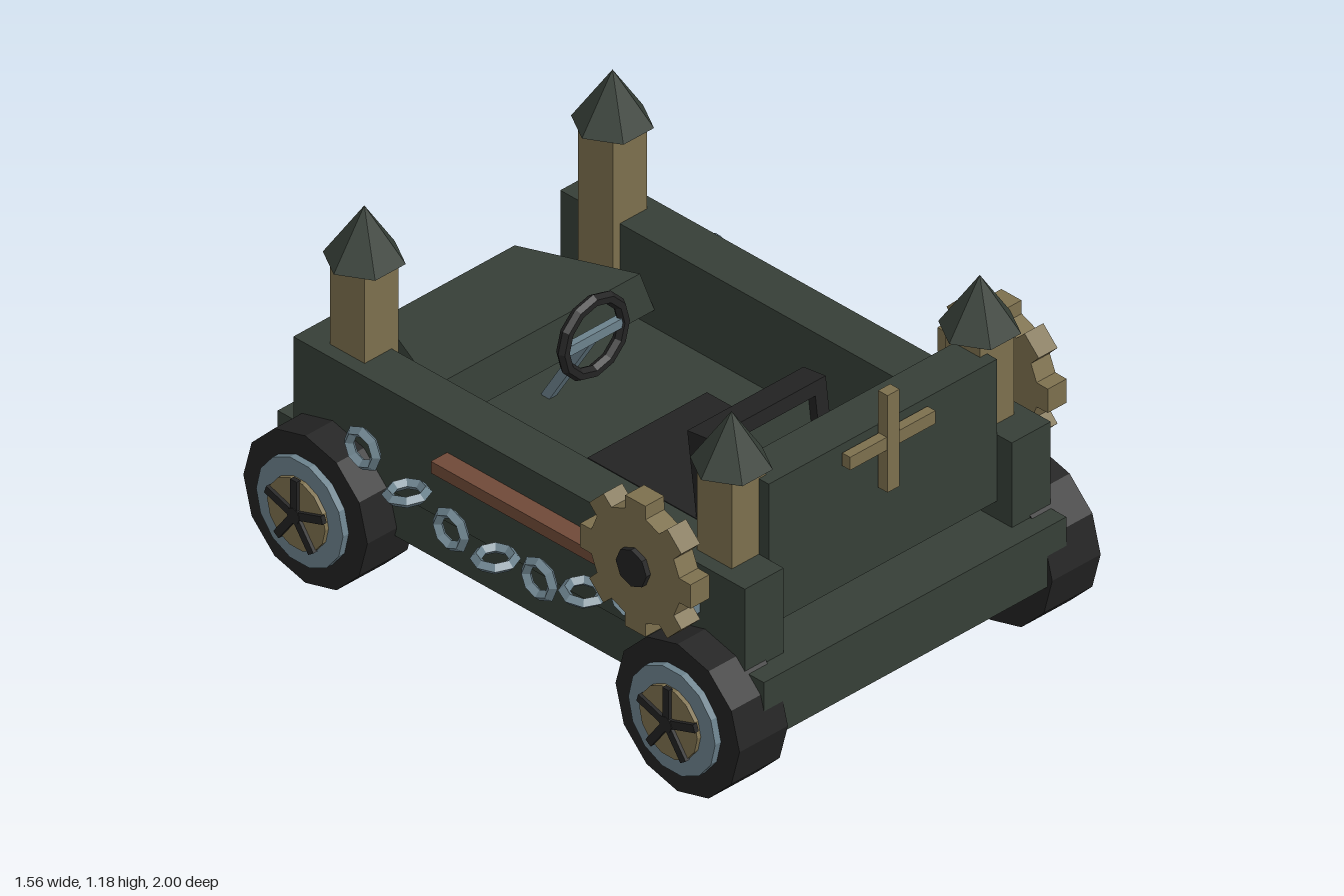
import * as THREE from 'three';

const paint = (name, color) => {
  const m = new THREE.MeshStandardMaterial({ color, flatShading: true });
  m.name = name;
  return m;
};

export function createModel() {
  const green = paint('dark green', 0x363f37);
  const black = paint('black', 0x232323);
  const gold = paint('dull gold', 0x7d704e);
  const steel = paint('blue steel', 0x6c828d);
  const wood = paint('red brown wood', 0x704a38);

  const car = new THREE.Group();
  car.name = 'castleCar';

  const add = (name, geo, mat, parent = car) => {
    const m = new THREE.Mesh(geo, mat);
    m.name = name;
    parent.add(m);
    return m;
  };
  // box given by its ranges
  const box = (name, mat, x0, x1, y0, y1, z0, z1, parent = car) => {
    const m = add(name, new THREE.BoxGeometry(x1 - x0, y1 - y0, z1 - z0), mat, parent);
    m.position.set((x0 + x1) / 2, (y0 + y1) / 2, (z0 + z1) / 2);
    return m;
  };
  // cylinder lying along x between x0 and x1
  const disc = (name, mat, r, x0, x1, sides, parent) => {
    const g = new THREE.CylinderGeometry(r, r, x1 - x0, sides).rotateZ(-Math.PI / 2);
    const m = add(name, g, mat, parent);
    m.position.x = (x0 + x1) / 2;
    return m;
  };
  const group = (name, x, y, z) => {
    const g = new THREE.Group();
    g.name = name;
    g.position.set(x, y, z);
    car.add(g);
    return g;
  };

  // Body
  box('chassis', green, -0.603, 0.603, 0.222, 0.425, -0.98, 0.98);
  for (const s of [-1, 1]) {
    const [a, b] = s > 0 ? [0.455, 0.61] : [-0.61, -0.455];
    box('sideWall', green, a, b, 0.375, 0.713, -0.91, 0.91);
  }
  box('rearWall', green, -0.455, 0.455, 0.487, 0.97, 0.705, 0.85);
  box('crossUpright', gold, -0.024, 0.024, 0.76, 1.09, 0.855, 0.893);
  box('crossBar', gold, -0.17, 0.17, 0.903, 0.947, 0.858, 0.89);

  // Hood: a box tapered towards the nose and towards the top
  const hood = new THREE.BoxGeometry(2, 1, 1);
  const p = hood.attributes.position;
  for (let i = 0; i < p.count; i++) {
    const top = p.getY(i) > 0, nose = p.getZ(i) < 0;
    const half = (nose ? 0.305 : 0.455) - (top ? 0.042 : 0);
    p.setXYZ(i, Math.sign(p.getX(i)) * half, top ? 0.62 : 0.485,
      nose ? (top ? -0.9 : -0.92) : (top ? -0.547 : -0.53));
  }
  hood.computeVertexNormals();
  add('hood', hood, green);

  // Corner towers with six-sided roofs
  for (const x of [-0.495, 0.495]) for (const z of [-0.74, 0.74]) {
    box('tower', gold, x - 0.068, x + 0.068, 0.48, 1.02, z - 0.07, z + 0.07);
    const roof = add('towerRoof', new THREE.ConeGeometry(0.122, 0.178, 6).rotateY(Math.PI / 6 * 3), green);
    roof.position.set(x, 1.097, z);
  }

  // Wheels with rim, cap and five spokes
  for (const s of [-1, 1]) for (const z of [-0.75, 0.75]) {
    const w = group('wheel', 0, 0.252, z);
    if (s < 0) w.rotation.y = Math.PI;
    disc('tire', black, 0.25, 0.527, 0.72, 12, w);
    disc('rim', steel, 0.175, 0.715, 0.743, 14, w);
    disc('wheelCap', gold, 0.117, 0.74, 0.757, 14, w);
    disc('wheelHub', black, 0.026, 0.75, 0.77, 8, w);
    for (let i = 0; i < 5; i++) {
      const g = new THREE.BoxGeometry(0.016, 0.12, 0.026).translate(0.76, 0.06, 0);
      add('spoke', g, black, w).rotation.x = i * Math.PI * 2 / 5;
    }
  }

  // Toothed gears on both sides
  const shape = new THREE.Shape();
  const teeth = 8, root = 0.182, tip = 0.226;
  for (let i = 0; i < teeth; i++) {
    const c = Math.PI / 2 + i * Math.PI * 2 / teeth;
    [[root, -0.23], [tip, -0.18], [tip, 0.18], [root, 0.23]].forEach(([r, d], k) => {
      const x = r * Math.cos(c + d), y = r * Math.sin(c + d);
      if (i + k === 0) shape.moveTo(x, y); else shape.lineTo(x, y);
    });
  }
  shape.closePath();
  const gearGeo = new THREE.ExtrudeGeometry(shape, { depth: 0.075, bevelEnabled: false });
  gearGeo.rotateY(Math.PI / 2).translate(0.675, 0, 0);
  for (const s of [-1, 1]) {
    const g = group('gear', 0, 0.716, 0.61);
    if (s < 0) g.rotation.y = Math.PI;
    add('gearWheel', gearGeo, gold, g);
    disc('gearHub', black, 0.062, 0.66, 0.767, 8, g);
  }

  // Hanging chains: links alternate upright and flat
  const linkGeo = new THREE.TorusGeometry(0.055, 0.018, 4, 8);
  for (const s of [-1, 1]) for (let i = -3; i <= 3; i++) {
    const link = add('chainLink', linkGeo, steel);
    link.position.set(s * 0.705, 0.433 + 0.0135 * i * i, i * 0.178);
    if (i % 2) link.rotation.y = Math.PI / 2;
    else link.rotation.x = Math.PI / 2 + i * 0.05;
  }

  // Mace on the left side
  box('maceShaft', steel, 0.61, 0.662, 0.573, 0.611, -0.28, 0.54);
  const mace = group('maceHead', 0.645, 0.592, 0.59);
  add('maceBall', new THREE.IcosahedronGeometry(0.066, 1), black, mace);
  const spike = new THREE.ConeGeometry(0.026, 0.07, 6).translate(0, 0.078, 0);
  for (const d of [[1, 0, 0], [-1, 0, 0], [0, 1, 0], [0, -1, 0], [0, 0, 1], [0, 0, -1]]) {
    add('maceSpike', spike, steel, mace).quaternion
      .setFromUnitVectors(new THREE.Vector3(0, 1, 0), new THREE.Vector3(...d));
  }

  // Hammer on the right side
  box('hammerHandle', wood, -0.675, -0.608, 0.572, 0.612, -0.29, 0.52);
  box('hammerHead', steel, -0.68, -0.605, 0.55, 0.628, 0.5, 0.73);

  // Seat
  box('seatCushion', black, -0.238, 0.238, 0.452, 0.51, -0.1, 0.425);
  const back = group('seatBack', 0, 0.49, 0.38);
  back.rotation.x = -0.13;
  box('backFrameTop', black, -0.232, 0.232, 0.26, 0.305, -0.045, 0.045, back);
  box('backFrameBottom', black, -0.232, 0.232, 0, 0.05, -0.045, 0.045, back);
  box('backFrameSide', black, -0.232, -0.185, 0.05, 0.26, -0.045, 0.045, back);
  box('backFrameSide', black, 0.185, 0.232, 0.05, 0.26, -0.045, 0.045, back);
  box('backPanel', green, -0.185, 0.185, 0.05, 0.26, -0.015, 0.015, back);

  // Steering wheel and column
  const wheel = group('steeringWheel', 0, 0.71, -0.318);
  add('steeringRing', new THREE.TorusGeometry(0.12, 0.02, 6, 12), black, wheel);
  box('steeringBar', steel, -0.115, 0.115, -0.016, 0.016, -0.012, 0.012, wheel);
  const from = new THREE.Vector3(0, 0.42, -0.5), to = new THREE.Vector3(0, 0.71, -0.32);
  const column = add('steeringColumn', new THREE.BoxGeometry(0.03, from.distanceTo(to), 0.03), steel);
  column.position.lerpVectors(from, to, 0.5);
  column.quaternion.setFromUnitVectors(new THREE.Vector3(0, 1, 0), to.clone().sub(from).normalize());

  return car;
}
